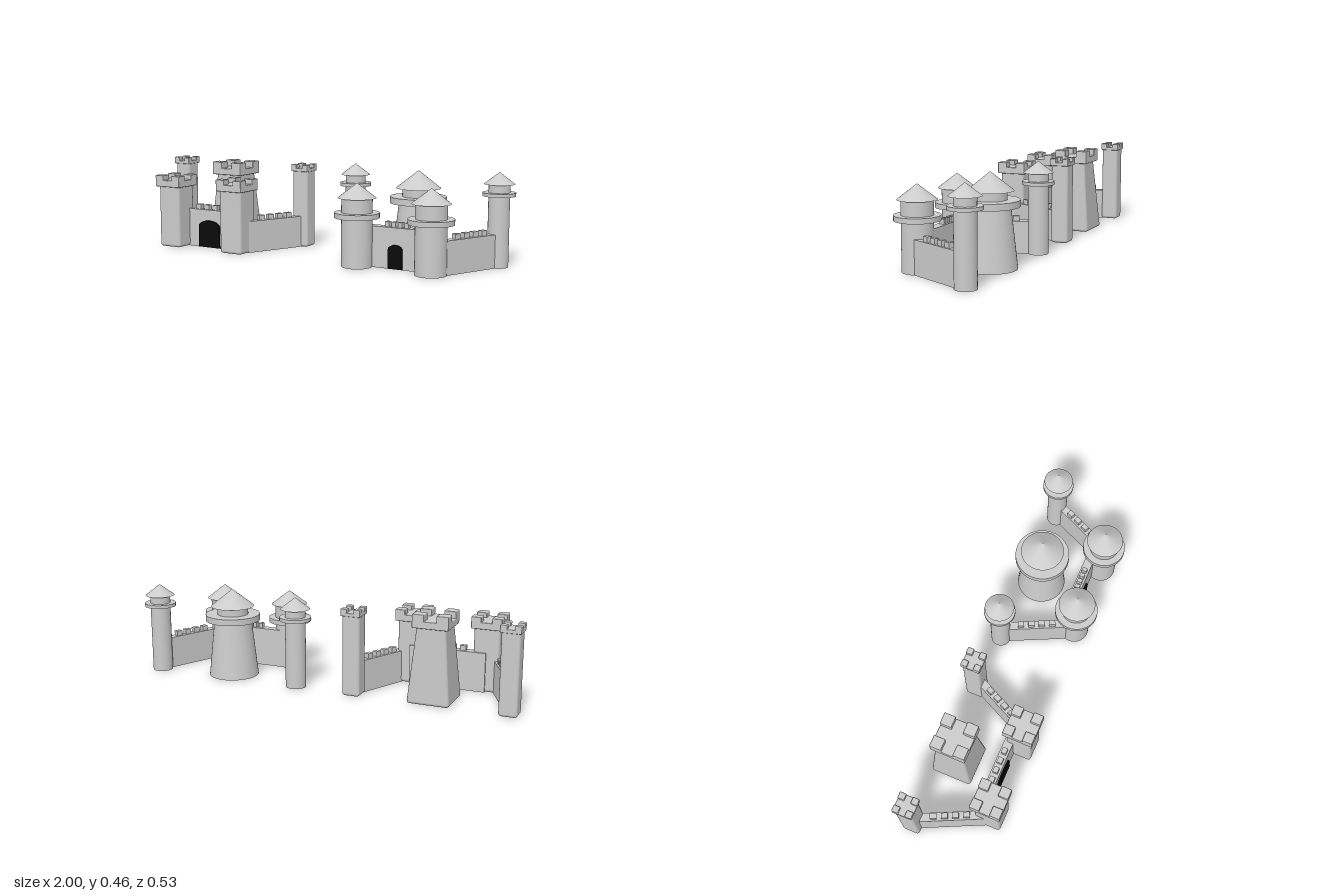
import * as THREE from 'three';
import { RoundedBoxGeometry } from 'three/addons/geometries/RoundedBoxGeometry.js';

const stone = new THREE.MeshStandardMaterial({ color: 0xcccccc });
const dark = new THREE.MeshStandardMaterial({ color: 0x0a0a0a });

function add(parent, name, geometry, x, y, z, material = stone) {
  const mesh = new THREE.Mesh(geometry, material);
  mesh.name = name;
  mesh.position.set(x, y, z);
  parent.add(mesh);
  return mesh;
}

function group(parent, name, x = 0, z = 0) {
  const g = new THREE.Group();
  g.name = name;
  g.position.set(x, 0, z);
  parent.add(g);
  return g;
}

// Square tower: softened shaft (optionally tapered), crown slab and four corner merlons
function squareTower(parent, name, x, z, o) {
  const g = group(parent, name, x, z);
  const shaft = new RoundedBoxGeometry(o.base, o.crownY + 0.015, o.base, 3, 0.015);
  shaft.translate(0, (o.crownY + 0.015) / 2, 0);
  const p = shaft.attributes.position;
  for (let i = 0; i < p.count; i++) {
    const k = THREE.MathUtils.lerp(1, o.neck / o.base, p.getY(i) / o.crownY);
    p.setX(i, p.getX(i) * k);
    p.setZ(i, p.getZ(i) * k);
  }
  add(g, 'shaft', shaft, 0, 0, 0);
  const slab = o.notchY - o.crownY;
  add(g, 'crown', new RoundedBoxGeometry(o.crown, slab, o.crown, 2, 0.004), 0, o.crownY + slab / 2, 0);
  const m = o.crown * 0.33, h = o.top - o.crownY;
  for (const sx of [-1, 1]) for (const sz of [-1, 1]) {
    add(g, 'cornerMerlon', new RoundedBoxGeometry(m, h, m, 2, 0.004),
      sx * (o.crown - m) / 2, o.crownY + h / 2, sz * (o.crown - m) / 2);
  }
}

// Round tower: shaft, gallery ring, neck and conical roof
function roundTower(parent, name, x, z, o) {
  const g = group(parent, name, x, z);
  const cylinder = (part, r0, r1, y0, y1) =>
    add(g, part, new THREE.CylinderGeometry(r1, r0, y1 - y0, 40), 0, (y0 + y1) / 2, 0);
  cylinder('shaft', o.base, o.shaftTop, 0, o.ringY);
  cylinder('galleryRing', o.ring, o.ring, o.ringY, o.ringTop);
  cylinder('neck', o.neck, o.neck, o.ringTop, o.roofY);
  add(g, 'roof', new THREE.ConeGeometry(o.roof, o.top - o.roofY, 40), 0, (o.roofY + o.top) / 2, 0);
}

// Straight wall between two ground points with a row of merlons
function wall(parent, name, a, b, height, thickness, pitch, size, shift = 0) {
  const dx = b[0] - a[0], dz = b[1] - a[1], length = Math.hypot(dx, dz);
  const g = group(parent, name, (a[0] + b[0]) / 2, (a[1] + b[1]) / 2);
  g.rotation.y = Math.atan2(-dz, dx);
  add(g, 'wallBody', new THREE.BoxGeometry(length, height, thickness), 0, height / 2, 0);
  for (let i = 0; i < 4; i++) {
    add(g, 'merlon', new THREE.BoxGeometry(size, 0.025, 0.026),
      shift + (i - 1.5) * pitch, height + 0.0125, 0);
  }
}

// Thin gate leaf with a shallow arched top
function gate(parent, width, spring, top) {
  const shape = new THREE.Shape();
  shape.moveTo(-width / 2, 0);
  shape.lineTo(width / 2, 0);
  shape.lineTo(width / 2, spring);
  shape.absellipse(0, spring, width / 2, top - spring, 0, Math.PI, false);
  shape.closePath();
  const geometry = new THREE.ExtrudeGeometry(shape, { depth: 0.012, bevelEnabled: false, curveSegments: 20 });
  add(parent, 'gate', geometry, 0, 0.002, 0.126, dark);
}

function castle(root, name, x, o) {
  const g = group(root, name, x);
  for (const s of [-1, 1]) {
    const side = s > 0 ? 'left' : 'right';
    o.tower(g, side + 'FrontTower', s * o.frontX, 0.157, o.front);
    o.tower(g, side + 'BackTower', s * o.backX, o.backZ, o.back);
    wall(g, side + 'Wall', [s * 0.395, -0.185], [s * 0.24, 0.14], 0.163, 0.042, 0.054, 0.032, 0.01);
  }
  o.tower(g, 'keep', 0, -0.114, o.keep);
  wall(g, 'frontWall', [-o.frontX, 0.107], [o.frontX, 0.107], 0.2, 0.046, o.pitch, o.merlon);
  gate(g, ...o.gate);
}

export function createModel() {
  const root = new THREE.Group();
  root.name = 'twoCastles';
  castle(root, 'squareCastle', -0.562, {
    tower: squareTower, frontX: 0.196, backX: 0.389, backZ: -0.186,
    front: { base: 0.13, neck: 0.13, crown: 0.155, crownY: 0.32, notchY: 0.355, top: 0.38 },
    back: { base: 0.09, neck: 0.09, crown: 0.1, crownY: 0.4, notchY: 0.418, top: 0.437 },
    keep: { base: 0.213, neck: 0.145, crown: 0.18, crownY: 0.37, notchY: 0.405, top: 0.438 },
    pitch: 0.052, merlon: 0.03, gate: [0.133, 0.11, 0.142]
  });
  castle(root, 'roundCastle', 0.528, {
    tower: roundTower, frontX: 0.194, backX: 0.389, backZ: -0.185,
    front: { base: 0.075, shaftTop: 0.075, ring: 0.109, ringY: 0.238, ringTop: 0.263, neck: 0.075, roofY: 0.333, roof: 0.093, top: 0.405 },
    back: { base: 0.051, shaftTop: 0.051, ring: 0.079, ringY: 0.343, ringTop: 0.36, neck: 0.051, roofY: 0.4, roof: 0.074, top: 0.457 },
    keep: { base: 0.127, shaftTop: 0.095, ring: 0.139, ringY: 0.29, ringTop: 0.322, neck: 0.079, roofY: 0.363, roof: 0.11, top: 0.451 },
    pitch: 0.034, merlon: 0.02, gate: [0.075, 0.092, 0.116]
  });
  return root;
}
